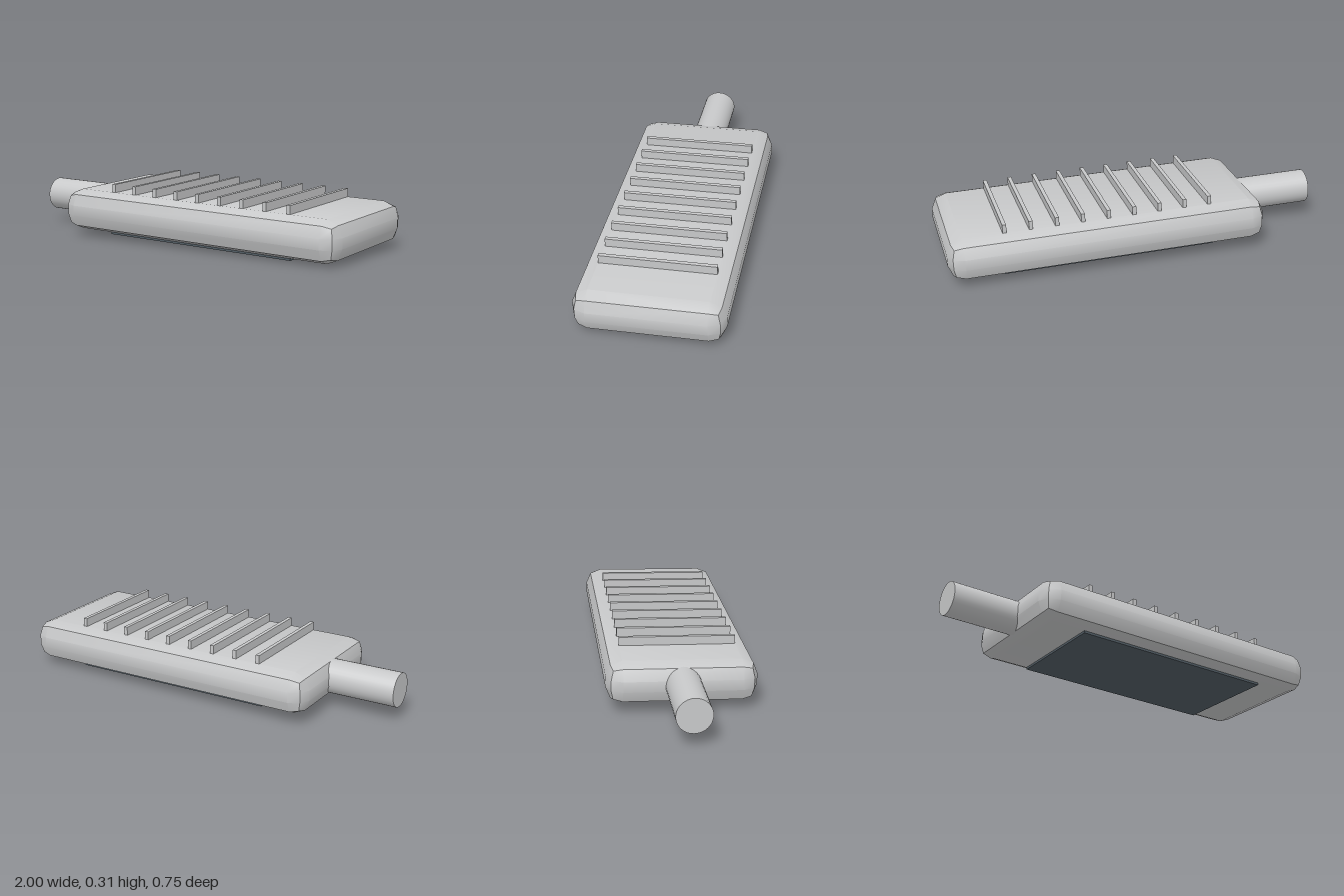
import * as THREE from 'three';
import { toCreasedNormals } from 'three/addons/utils/BufferGeometryUtils.js';

const BODY = { w: 1.65, h: 0.214, d: 0.746 };

// Box whose edges and corners have a two-step bevel
function bevelledBox(w, h, d, r) {
  const geo = new THREE.BoxGeometry(1, 1, 1, 3, 3, 3);
  const pos = geo.attributes.position;
  const core = new THREE.Vector3(w / 2 - r, h / 2 - r, d / 2 - r);
  const p = new THREE.Vector3();
  const dir = new THREE.Vector3();
  const outer = (v) => (Math.abs(v) > 0.3 ? Math.sign(v) : 0);
  for (let i = 0; i < pos.count; i++) {
    p.fromBufferAttribute(pos, i);
    dir.set(outer(p.x), outer(p.y), outer(p.z)).normalize().multiplyScalar(r);
    p.set(Math.sign(p.x), Math.sign(p.y), Math.sign(p.z)).multiply(core).add(dir);
    pos.setXYZ(i, p.x, p.y, p.z);
  }
  return toCreasedNormals(geo, Math.PI / 6);
}

export function createModel() {
  const metal = new THREE.MeshStandardMaterial({ color: 0xc8c9ca });
  metal.name = 'light grey metal';
  const lens = new THREE.MeshStandardMaterial({ color: 0x535e66 });
  lens.name = 'dark lens';

  const model = new THREE.Group();
  model.name = 'streetLampHead';
  const head = new THREE.Group();
  head.name = 'tiltedHead';
  model.add(head);

  const add = (name, geo, mat, x, y, z = 0) => {
    const mesh = new THREE.Mesh(geo, mat);
    mesh.name = name;
    mesh.position.set(x, y, z);
    head.add(mesh);
    return mesh;
  };

  // Housing
  add('housing', bevelledBox(BODY.w, BODY.h, BODY.d, 0.08), metal, 0, 0);

  // Mounting tube, running a little way into the housing
  const tube = add('mountingTube', new THREE.CylinderGeometry(0.088, 0.088, 0.5, 32), metal, -0.923, 0);
  tube.rotation.z = Math.PI / 2;

  // Cooling fins across the top
  const fin = new THREE.BoxGeometry(0.02, 0.06, 0.585);
  for (let i = -4; i <= 4; i++) {
    add('coolingFin', fin, metal, i * 0.133, BODY.h / 2 + 0.014);
  }

  // Light panel underneath
  add('lightPanel', new THREE.BoxGeometry(1.1, 0.02, 0.58), lens, -0.005, -BODY.h / 2 - 0.002);

  // Slight tilt of the whole head
  head.rotation.set(0.03, 0, -0.0185);
  head.position.set(0.175, 0.138, 0);
  return model;
}
